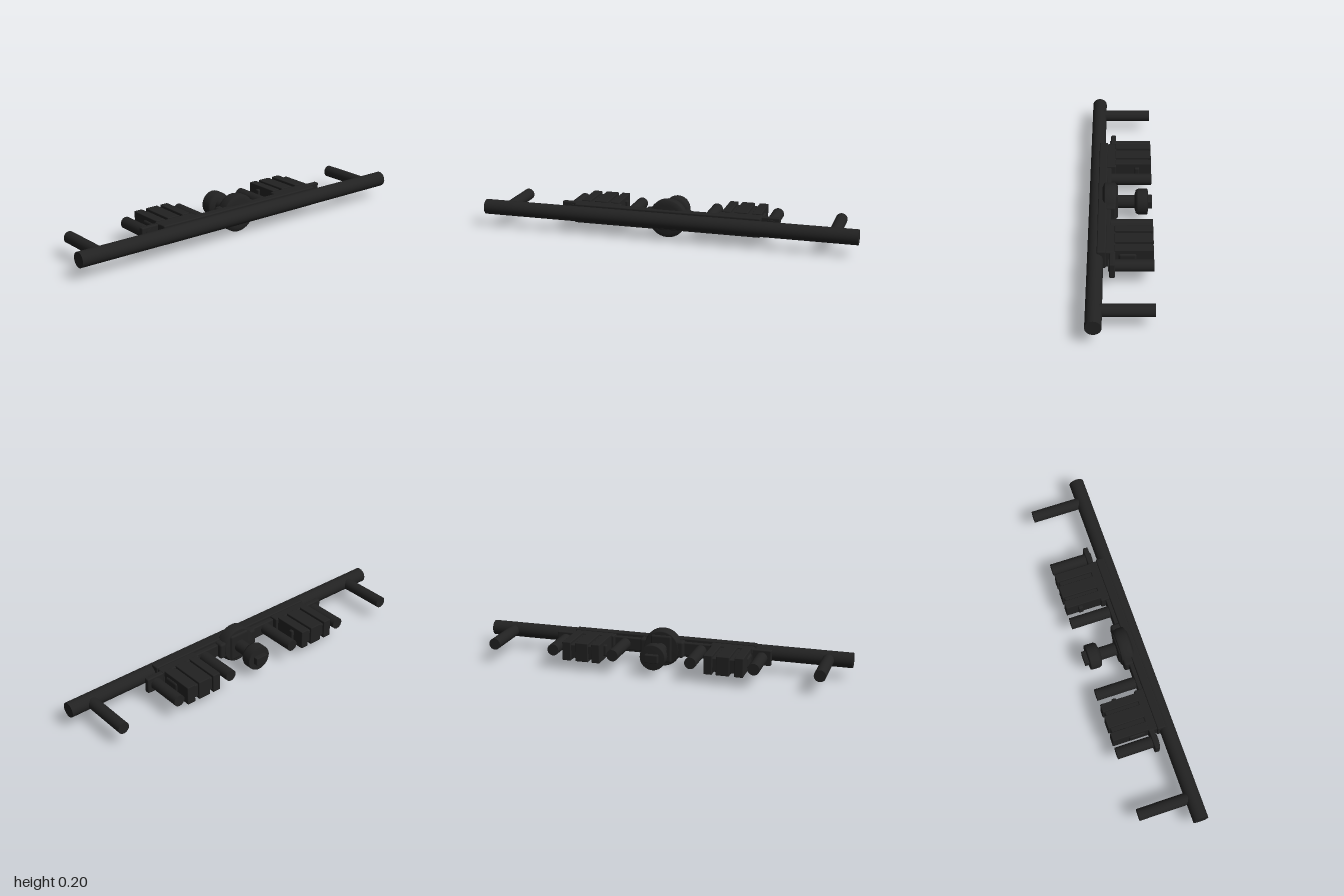
import * as THREE from 'three';
import { RoundedBoxGeometry } from 'three/addons/geometries/RoundedBoxGeometry.js';

const CY = 0.105; // height of the shared centre line

export function createModel() {
  const model = new THREE.Group();
  model.name = 'handleRail';
  const mat = new THREE.MeshStandardMaterial({ color: 0x222222 });

  const add = (name, geo, x, y, z, parent = model) => {
    const mesh = new THREE.Mesh(geo, mat);
    mesh.name = name;
    mesh.position.set(x, y, z);
    parent.add(mesh);
    return mesh;
  };
  // Box given by its x and z limits and half height, centred on the centre line
  const box = (name, x0, x1, z0, z1, h, parent, r = 0.006) =>
    add(name, new RoundedBoxGeometry(x1 - x0, 2 * h, z1 - z0, 2, r),
      (x0 + x1) / 2, CY, (z0 + z1) / 2, parent);
  // Round peg running along z
  const peg = (name, x, r, z0, z1, parent) => {
    const geo = new THREE.CylinderGeometry(r, r, z1 - z0, 24).rotateX(Math.PI / 2);
    return add(name, geo, x, CY, (z0 + z1) / 2, parent);
  };
  // Turned part along z from [radius, z] pairs, listed back to front
  const turned = (name, pts) => {
    const geo = new THREE.LatheGeometry(pts.map(([r, z]) => new THREE.Vector2(r, z)), 32);
    geo.rotateX(Math.PI / 2);
    return add(name, geo.toNonIndexed(), 0, CY, 0);
  };

  // Long front rod
  add('rod', new THREE.CylinderGeometry(0.04, 0.04, 2, 32).rotateZ(Math.PI / 2), 0, CY, 0.125);

  // Mounting plate behind the rod, with a lower back rib
  box('plate', -0.5, 0.5, 0.072, 0.117, 0.051);
  box('plateRib', -0.47, 0.47, 0.05, 0.08, 0.035);

  // Central hub
  turned('hub', [[0, 0.022], [0.09, 0.022], [0.095, 0.026], [0.101, 0.045],
    [0.101, 0.08], [0.098, 0.085], [0.075, 0.095], [0, 0.095]]);
  box('hubLugs', -0.12, 0.12, 0.025, 0.08, 0.045, model, 0.012);
  box('hubBridge', -0.058, 0.058, 0.014, 0.07, 0.075, model, 0.012);
  peg('knobStem', 0, 0.034, -0.1, 0.03);

  // Rear knob with a recessed cross slot around its tip
  turned('knob', [[0, -0.142], [0.066, -0.142], [0.068, -0.136], [0.068, -0.092],
    [0.062, -0.08], [0.034, -0.072], [0, -0.072]]);
  box('knobTip', -0.035, 0.035, -0.165, -0.13, 0.022, model, 0.004);

  // Pegs and clamp blocks, the same on both sides
  for (const s of [1, -1]) {
    const side = new THREE.Group();
    side.name = s > 0 ? 'leftSide' : 'rightSide';
    model.add(side);
    const span = (name, a, b, z0, z1, h, r) =>
      box(name, Math.min(s * a, s * b), Math.max(s * a, s * b), z0, z1, h, side, r);

    peg('endPeg', s * 0.875, 0.031, -0.165, 0.12, side);
    peg('outerPeg', s * 0.54, 0.031, -0.165, 0.06, side);
    peg('innerPeg', s * 0.21, 0.031, -0.165, 0.08, side);
    span('outerPegCollar', 0.43, 0.59, 0.027, 0.055, 0.042);

    // Clamp block: lower core with taller fins and small catches
    span('clampCore', 0.29, 0.475, -0.155, 0.08, 0.037);
    for (const [a, b] of [[0.28, 0.325], [0.345, 0.415], [0.44, 0.487]])
      span('clampFin', a, b, -0.165, 0.03, 0.051, 0.004);
    span('clampFoot', 0.265, 0.495, 0.025, 0.075, 0.045);
    span('innerCatch', 0.265, 0.31, -0.1, -0.075, 0.03);
    span('outerBulge', 0.46, 0.495, -0.08, 0.01, 0.03, 0.012);
  }
  return model;
}
